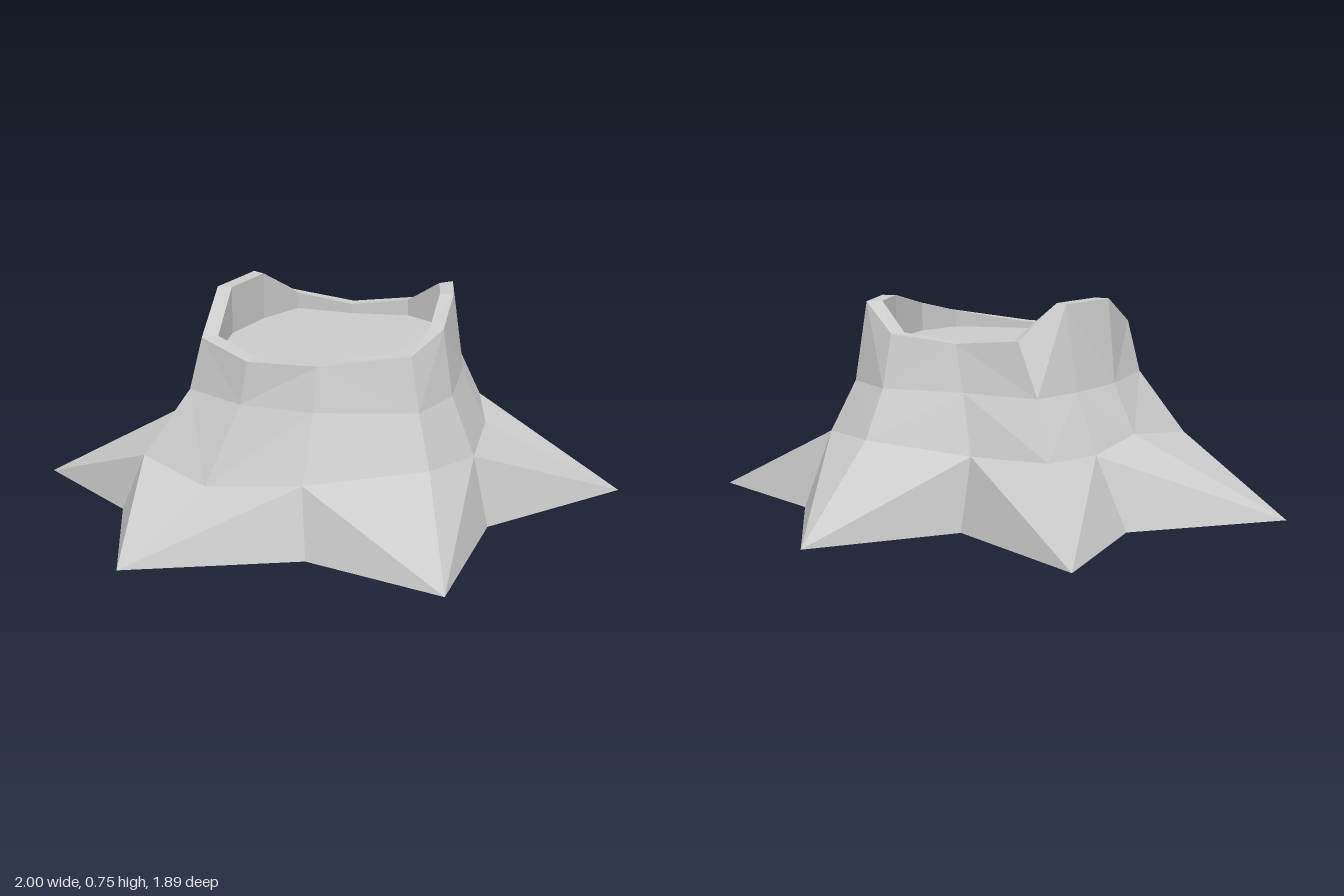
import * as THREE from 'three';

// Cross-sections of 12 [x, y, z] points, from the back round by +x.
// Even points follow a root ridge, odd points the valley between two roots.
const footXZ = [
  [0.15, -0.95], [0.51, -0.5], [1, -0.36], [0.66, 0.14], [0.7, 0.71], [0.19, 0.64],
  [-0.35, 0.94], [-0.58, 0.49], [-1, 0.27], [-0.62, -0.18], [-0.72, -0.7], [-0.16, -0.49],
];
const flare = [
  [0.2, 0.285, -0.54], [0.44, 0.275, -0.43], [0.53, 0.245, -0.22], [0.6, 0.25, 0.13],
  [0.53, 0.28, 0.39], [0.15, 0.235, 0.57], [-0.2, 0.185, 0.59], [-0.485, 0.22, 0.49],
  [-0.5, 0.28, 0.08], [-0.5, 0.25, -0.18], [-0.46, 0.26, -0.42], [-0.16, 0.25, -0.43],
];
const waistXZ = [
  [0.2, -0.44], [0.39, -0.35], [0.45, -0.18], [0.51, 0.11], [0.465, 0.32], [0.14, 0.45],
  [-0.12, 0.47], [-0.35, 0.39], [-0.41, 0.1], [-0.4, -0.14], [-0.36, -0.33], [-0.08, -0.36],
];
const rim = [
  [0.2, 0.635, -0.39], [0.36, 0.73, -0.32], [0.42, 0.733, -0.15], [0.47, 0.68, 0.1],
  [0.425, 0.635, 0.29], [0.14, 0.6, 0.41], [-0.1, 0.6, 0.455], [-0.31, 0.635, 0.37],
  [-0.37, 0.745, 0.12], [-0.34, 0.745, -0.12], [-0.27, 0.635, -0.31], [-0.03, 0.61, -0.33],
];

const atHeight = (points, y) => points.map(([x, z]) => [x, y, z]);
const N = rim.length;

// Skin of flat faces between neighbouring rings
function loft(rings) {
  const pos = [];
  for (let r = 0; r + 1 < rings.length; r++) {
    for (let i = 0; i < N; i++) {
      const j = (i + 1) % N;
      const a = rings[r][i], b = rings[r][j], c = rings[r + 1][j], d = rings[r + 1][i];
      // Each diagonal starts on a root ridge and ends in a valley
      if (i % 2 === 0) pos.push(...a, ...d, ...c, ...a, ...c, ...b);
      else pos.push(...a, ...d, ...b, ...d, ...c, ...b);
    }
  }
  return pos;
}

// Flat cap as a fan round a middle point
function fan(ring, centre, up) {
  return ring.flatMap((p, i) => {
    const q = ring[(i + 1) % N];
    return up ? [...centre, ...q, ...p] : [...centre, ...p, ...q];
  });
}

const material = new THREE.MeshStandardMaterial({ color: 0xcccccc, flatShading: true });

function part(name, positions) {
  const geometry = new THREE.BufferGeometry();
  geometry.setAttribute('position', new THREE.Float32BufferAttribute(positions, 3));
  geometry.computeVertexNormals();
  const mesh = new THREE.Mesh(geometry, material);
  mesh.name = name;
  return mesh;
}

export function createModel() {
  const group = new THREE.Group();
  group.name = 'treeStump';

  const foot = atHeight(footXZ, 0);
  const waist = atHeight(waistXZ, 0.45);
  // Inner edge of the rim, drawn in towards the middle of the trunk
  const inner = rim.map(([x, y, z]) => [0.05 + (x - 0.05) * 0.88, y, 0.04 + (z - 0.04) * 0.88]);
  const floor = inner.map(([x, , z]) => [x, 0.575, z]);

  group.add(
    part('trunkAndRoots', loft([foot, flare, waist, rim])),
    part('barkRim', loft([rim, inner])),
    part('innerWall', loft([inner, floor])),
    part('cutTop', fan(floor, [0.05, 0.575, 0.04], true)),
    part('underside', fan(foot, [0, 0, 0], false)),
  );
  return group;
}
